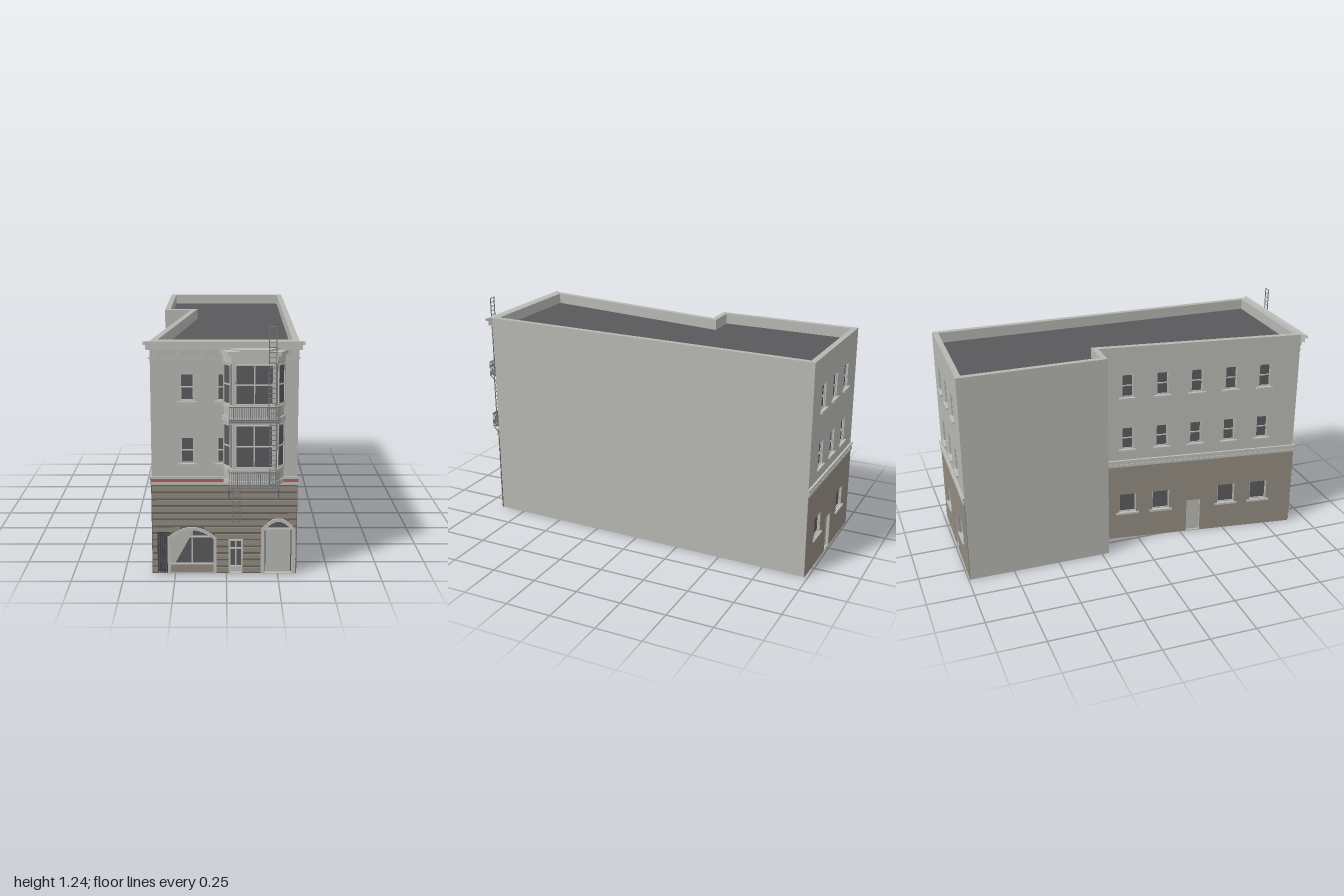
import * as THREE from 'three';

const mat = (name, color) => Object.assign(new THREE.MeshStandardMaterial({ color }), { name });

export function createModel() {
  const model = new THREE.Group();
  const stone = mat('pale stone', 0xb6b6b2), trim = mat('light trim', 0xbcbcb8);
  const brown = mat('ground floor stone', 0x918b80), groove = mat('groove', 0x68645c);
  const glass = mat('window glass', 0x5a5a5d), tar = mat('roof', 0x59595c);
  const red = mat('red band', 0xb0605a), iron = mat('iron', 0x77787a), dark = mat('dark iron', 0x434346);
  const H = 1.155, GROUND = 0.455;

  const add = (parent, name, geo, m) => {
    const mesh = new THREE.Mesh(geo, m);
    mesh.name = name;
    parent.add(mesh);
    return mesh;
  };
  // box given by its centre in x, its bottom and top in y, and its back and front in z
  const box = (parent, name, m, x, w, y0, y1, z0, z1) => {
    const b = add(parent, name, new THREE.BoxGeometry(w, y1 - y0, z1 - z0), m);
    b.position.set(x, (y0 + y1) / 2, (z0 + z1) / 2);
    return b;
  };
  const rod = (parent, name, a, b, t = 0.004, m = iron) => {
    const A = new THREE.Vector3(...a), B = new THREE.Vector3(...b);
    const r = add(parent, name, new THREE.BoxGeometry(t, t, A.distanceTo(B)), m);
    r.position.copy(A).lerp(B, 0.5);
    r.lookAt(B);
  };
  const group = (parent, name) => {
    const g = new THREE.Group();
    g.name = name;
    parent.add(g);
    return g;
  };
  // rectangular outline with an optional arched head
  const outline = (T, { x, w, y0, y1, rise = 0 }) => {
    const p = new T();
    p.moveTo(x - w / 2, y0);
    p.lineTo(x + w / 2, y0);
    p.lineTo(x + w / 2, y1);
    if (rise) p.quadraticCurveTo(x, y1 + 2 * rise, x - w / 2, y1);
    else p.lineTo(x - w / 2, y1);
    p.closePath();
    return p;
  };
  const slab = (outer, holes, z0, z1) => {
    const s = outline(THREE.Shape, outer);
    s.holes = holes.map(h => outline(THREE.Path, h));
    const g = new THREE.ExtrudeGeometry(s, { depth: z1 - z0, bevelEnabled: false, curveSegments: 12 });
    return g.translate(0, 0, z0);
  };
  const sash = (parent, x, w, y0, y1, z, cols = 1, rail = true) => {
    const g = group(parent, 'window');
    box(g, 'glass', glass, x, w, y0, y1, z - 0.004, z);
    for (let i = 0; i <= cols; i++) {
      box(g, 'windowStile', trim, x - w / 2 + 0.003 + i * (w - 0.006) / cols, 0.006, y0, y1, z, z + 0.005);
    }
    for (const y of rail ? [y0, (y0 + y1) / 2 - 0.003, y1 - 0.006] : [y0, y1 - 0.006]) {
      box(g, 'windowRail', trim, x, w, y, y + 0.006, z, z + 0.005);
    }
  };

  // Footprint corners, anticlockwise from above
  const P = [[-0.36, 0.893], [0.34, 0.893], [0.36, -0.98], [-0.35, -0.99], [-0.35, -0.21], [-0.2, -0.21]];
  const n = P.length;
  const edges = P.map((p, i) => {
    const q = P[(i + 1) % n];
    return { p, L: Math.hypot(q[0] - p[0], q[1] - p[1]), a: Math.atan2(p[1] - q[1], q[0] - p[0]) };
  });
  const mitre = i => {
    const d = edges[i % n].a - edges[(i + n - 1) % n].a;
    return Math.tan(Math.atan2(Math.sin(d), Math.cos(d)) / 2);
  };

  // Openings per wall, measured along it
  const upper = xs => xs.flatMap(x => [[0.56, 0.69], [0.868, 1.0]].map(([y0, y1]) => ({ x, w: 0.066, y0, y1, kind: 'sash' })));
  const low = x => ({ x, w: 0.1, y0: 0.165, y1: 0.28, kind: 'low' });
  const door = x => ({ x, w: 0.08, y0: 0.002, y1: 0.2, kind: 'door' });
  const gate = { x: 0.053, w: 0.06, y0: 0.002, y1: 0.225 };
  const shop = { x: 0.192, w: 0.22, y0: 0.002, y1: 0.185, rise: 0.045 };
  const smallDoor = { x: 0.405, w: 0.065, y0: 0.002, y1: 0.175 };
  const entrance = { x: 0.612, w: 0.145, y0: 0.002, y1: 0.228, rise: 0.045 };
  const frontDoors = [gate, shop, smallDoor, entrance];
  const sideL = edges[5].L, sideX = [1, 2, 3, 4, 5].map(k => sideL * (1 - 0.172 * k));
  const openings = [
    [...frontDoors, ...upper([0.173, 0.348])], [],
    [...upper([0.165, 0.35, 0.533]), low(0.17), door(0.355), low(0.54)], [], [],
    [...upper(sideX), ...sideX.map((x, i) => (i === 2 ? door(x) : low(x)))],
  ];

  // Walls: pierced outer layer, solid inner layer, cladding and string course, mitred at corners
  const wallNames = ['frontWall', 'rightWall', 'backWall', 'rearSideWall', 'notchWall', 'slantedWall'];
  const walls = edges.map(({ p, L, a }, i) => {
    const wall = group(model, wallNames[i]);
    wall.position.set(p[0], 0, p[1]);
    wall.rotation.y = a;
    wall.updateMatrix();
    const layer = (name, m, y0, y1, z0, z1, holes = []) => {
      const g = slab({ x: L / 2, w: L, y0, y1 }, holes, z0, z1), v = g.attributes.position;
      for (let k = 0; k < v.count; k++) {
        if (v.getX(k) < 1e-4) v.setX(k, -v.getZ(k) * mitre(i));
        else if (v.getX(k) > L - 1e-4) v.setX(k, L + v.getZ(k) * mitre(i + 1));
      }
      g.computeVertexNormals();
      add(wall, name, g, m);
    };
    const holes = openings[i];
    layer('outerWall', stone, 0, H, -0.018, 0, holes);
    layer('innerWall', stone, 0, H, -0.03, -0.018);
    if (holes.length) {
      layer('groundCladding', i ? brown : groove, 0, GROUND, 0, 0.003, holes.filter(o => o.y1 < GROUND));
      layer('stringCourse', trim, GROUND, 0.47, 0, 0.009);
      layer(i ? 'stringCourseFace' : 'redBand', i ? trim : red, 0.47, 0.487, 0, 0.006);
      layer('stringCourseCap', trim, 0.487, 0.495, 0, 0.012);
    }
    for (const o of holes) {
      if (o.kind === 'door') {
        box(wall, 'doorPanel', stone, o.x, o.w, 0.002, o.y1, -0.018, -0.014);
        box(wall, 'doorBack', dark, o.x, o.w, 0, o.y1, -0.036, -0.029);
      } else if (o.kind) {
        sash(wall, o.x, o.w, o.y0, o.y1, -0.012, 1, o.kind === 'sash');
        box(wall, 'sill', trim, o.x, o.w + 0.03, o.y0 - 0.011, o.y0, -0.01, 0.012);
      }
    }
    if (i === 0) {
      layer('cornice', trim, 1.115, 1.14, 0, 0.016);
      layer('corniceTop', trim, 1.14, H, 0, 0.026);
      layer('frieze', trim, 1.07, 1.076, 0, 0.006);
    }
    return wall;
  });
  const front = walls[0];

  // Rusticated courses, interrupted by the front openings
  for (let k = 0; k < 13; k++) {
    const y0 = 0.008 + k * 0.0345, mid = y0 + 0.012;
    let start = 0;
    for (const o of [...frontDoors, { x: edges[0].L, w: 0, y1: 1 }]) {
      const r = o.rise ? o.rise + 0.01 : 0.001, over = Math.max(0, (mid - o.y1) / r);
      if (over > 1) continue;
      const half = (o.w / 2 + (o.rise ? 0.01 : 0)) * Math.sqrt(1 - over), end = o.x - half;
      if (end - start > 0.002) box(front, 'stoneCourse', brown, (start + end) / 2, end - start, y0, y0 + 0.023, 0.002, 0.009);
      start = o.x + half;
    }
  }
  for (const u of [0.02, 0.13, 0.24, 0.36, 0.68]) box(front, 'corniceBracket', trim, u, 0.011, 1.085, 1.116, 0, 0.014);

  // Shopfront, entrances and gate
  const surround = (o, grow) => add(front, 'surround', slab(
    { ...o, w: o.w + grow * 2, y0: 0, y1: o.y1 + (o.rise ? 0 : grow), rise: o.rise ? o.rise + grow : 0 },
    [{ ...o, w: o.w - 0.012, y0: 0.004, y1: o.y1 - 0.005 }], -0.012, 0.012), trim);
  for (const o of [shop, smallDoor, entrance]) add(front, 'glazing', slab(o, [], -0.017, -0.012), glass);
  surround(shop, 0.01);
  surround(smallDoor, 0.002);
  surround(entrance, 0.012);
  box(front, 'stallRiser', brown, shop.x, 0.21, 0.003, 0.045, -0.012, 0.004);
  box(front, 'shopSill', trim, shop.x, 0.21, 0.045, 0.05, -0.012, 0.006);
  box(front, 'shopTransom', trim, shop.x, 0.21, 0.183, 0.189, -0.012, 0);
  box(front, 'shopMullion', trim, shop.x, 0.006, 0.05, 0.226, -0.012, 0);
  box(front, 'smallDoorPanel', trim, smallDoor.x, 0.06, 0.003, 0.035, -0.012, -0.004);
  box(front, 'smallDoorRail', trim, smallDoor.x, 0.06, 0.122, 0.13, -0.012, -0.004);
  box(front, 'smallDoorStile', trim, smallDoor.x, 0.008, 0.03, 0.172, -0.012, -0.004);
  box(front, 'entranceDoor', stone, entrance.x, 0.122, 0.003, 0.222, -0.012, -0.005);
  box(front, 'entranceLintel', trim, entrance.x, 0.135, 0.222, 0.23, -0.012, 0.002);
  box(front, 'gateBack', glass, gate.x, gate.w, 0.002, gate.y1, -0.018, -0.014);
  for (let k = 0; k < 6; k++) box(front, 'gateBar', dark, gate.x - 0.027 + k * 0.0108, 0.005, 0, gate.y1, -0.002, 0.006);
  for (const y of [0.01, 0.21]) box(front, 'gateRail', dark, gate.x, gate.w, y, y + 0.008, -0.003, 0.005);

  // Roof deck, tucked into the parapet
  const deck = new THREE.Shape(walls.map((w, i) => {
    const v = new THREE.Vector3(0.022 * mitre(i), 0, -0.022).applyMatrix4(w.matrix);
    return new THREE.Vector2(v.x, -v.z);
  }));
  const deckGeo = new THREE.ExtrudeGeometry(deck, { depth: 0.01, bevelEnabled: false }).rotateX(-Math.PI / 2);
  add(model, 'roofDeck', deckGeo, tar).position.y = 1.088;

  // Bay window
  const bay = group(model, 'bayWindow'), Z = 0.89;
  bay.position.set(0.13, 0, 0);
  const prism = (name, m, back, fore, zf, y0, y1) => {
    const s = new THREE.Shape([[-back, -Z], [-fore, -zf], [fore, -zf], [back, -Z]].map(q => new THREE.Vector2(...q)));
    const g = new THREE.ExtrudeGeometry(s, { depth: y1 - y0, bevelEnabled: false }).rotateX(-Math.PI / 2);
    add(bay, name, g, m).position.y = y0;
  };
  prism('bayBody', stone, 0.145, 0.1025, 0.952, 0.485, 1.1);
  prism('bayBase', trim, 0.15, 0.11, 0.958, 0.468, 0.49);
  prism('bayLowerSill', trim, 0.151, 0.108, 0.959, 0.54, 0.55);
  prism('bayMiddleBand', trim, 0.154, 0.112, 0.963, 0.775, 0.8);
  prism('bayUpperSill', trim, 0.151, 0.108, 0.959, 0.847, 0.856);
  prism('bayFrieze', trim, 0.15, 0.108, 0.959, 1.06, 1.095);
  prism('bayCornice', trim, 0.16, 0.125, 0.974, 1.095, 1.115);
  prism('bayRoof', trim, 0.13, 0.07, 0.965, 1.115, 1.124);
  const sides = [-1, 1].map(s => {
    const g = group(bay, 'baySide');
    g.position.set(s * 0.1238, 0, 0.921);
    g.rotation.y = s * Math.atan2(0.062, 0.0425);
    return g;
  });
  for (const [y0, y1] of [[0.555, 0.765], [0.86, 1.053]]) {
    sash(bay, 0, 0.18, y0, y1, 0.955, 2);
    for (const g of sides) sash(g, 0, 0.06, y0, y1, 0.003);
  }

  // Fire escape: two balconies with railings and struts
  const escape = group(model, 'fireEscape');
  const x0 = 0.012, x1 = 0.248, z0 = 0.955, z1 = 0.997;
  for (const [y, top] of [[0.787, 0.86], [0.47, 0.545]]) {
    for (let k = 0; k < 5; k++) box(escape, 'balconySlat', iron, 0.13, x1 - x0, y - 0.004, y, z0 + k * 0.0088, z0 + 0.005 + k * 0.0088);
    for (const h of [y + 0.012, top]) {
      rod(escape, 'frontRail', [x0, h, z1], [x1, h, z1]);
      for (const x of [x0, x1]) rod(escape, 'sideRail', [x, h, z0 - 0.03], [x, h, z1]);
    }
    for (let k = 0; k <= 24; k++) {
      const x = x0 + (x1 - x0) * k / 24;
      rod(escape, 'baluster', [x, y - 0.004, z1], [x, top, z1], 0.0028);
    }
    for (const x of [x0, x1]) {
      for (const z of [0.965, 0.981]) rod(escape, 'sideBaluster', [x, y, z], [x, top, z], 0.0028);
      rod(escape, 'strut', [x, y - 0.005, z1], [x, y - 0.075, 0.925]);
      rod(escape, 'strutTop', [x, y - 0.002, 0.9], [x, y - 0.002, z1]);
    }
  }

  // Ladders
  const ladder = (x, w, y0, y1, z) => {
    const g = group(escape, 'ladder');
    for (const s of [-1, 1]) rod(g, 'ladderRail', [x + s * w / 2, y0, z], [x + s * w / 2, y1, z], 0.004);
    for (let y = y0 + 0.012; y < y1; y += 0.024) rod(g, 'rung', [x - w / 2, y, z], [x + w / 2, y, z], 0.003);
  };
  ladder(0.213, 0.034, 0.79, 1.237, 0.978);
  ladder(0.218, 0.03, 0.47, 0.787, 0.982);
  ladder(0.047, 0.034, 0.28, 0.475, 0.962);
  return model;
}
